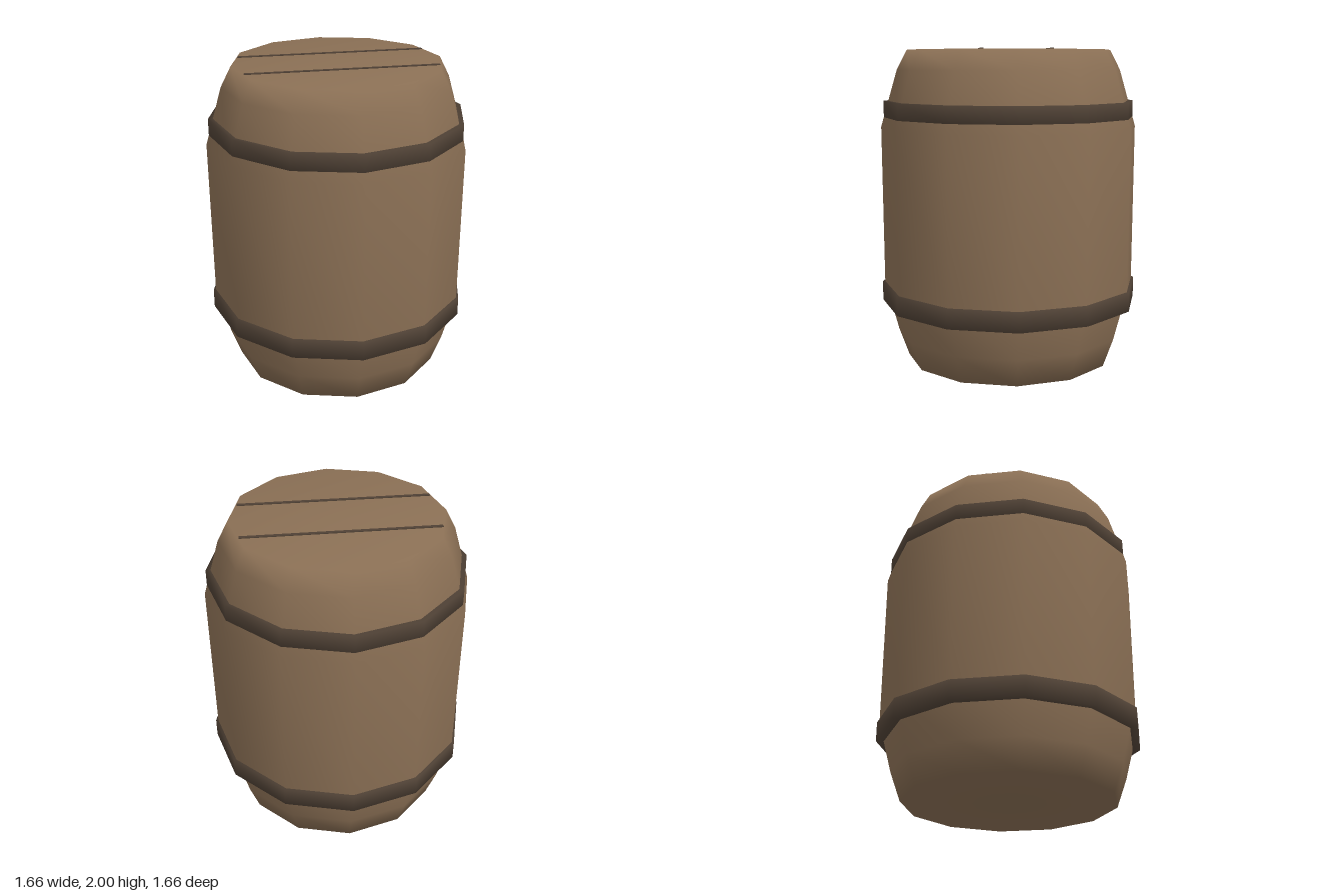
import * as THREE from 'three';

const SIDES = 12;

export function createModel() {
  const wood = new THREE.MeshStandardMaterial({ color: 0x8b7055 });
  wood.name = 'wood';
  const darkBand = new THREE.MeshStandardMaterial({ color: 0x4f4135 });
  darkBand.name = 'dark band';

  const barrel = new THREE.Group();
  barrel.name = 'barrel';

  const add = (name, geometry, material) => {
    const mesh = new THREE.Mesh(geometry, material);
    mesh.name = name;
    barrel.add(mesh);
    return mesh;
  };

  // Turned shape from [radius, height] pairs, listed upwards
  const turn = (profile) =>
    new THREE.LatheGeometry(profile.map(([r, y]) => new THREE.Vector2(r, y)), SIDES);

  // Closed body with softly shaded rims
  add('body', turn([
    [0, 0], [0.665, 0], [0.73, 0.18], [0.815, 0.5],
    [0.82, 1.51], [0.715, 1.87], [0.65, 1.995], [0, 1.995],
  ]), wood);

  // Hoops, with their inner edges sunk into the body
  const hoop = (name, bottom, top, outer, inner) =>
    add(name, turn([[inner, bottom], [outer, bottom], [outer, top], [inner, top]]), darkBand);
  hoop('lowerHoop', 0.377, 0.5, 0.83, 0.76);
  hoop('upperHoop', 1.565, 1.675, 0.802, 0.75);

  // Thin seams between the lid planks
  for (const z of [-0.205, 0.2]) {
    add('lidSeam', new THREE.BoxGeometry(1.18, 0.008, 0.022), darkBand).position.set(0, 1.996, z);
  }

  return barrel;
}
